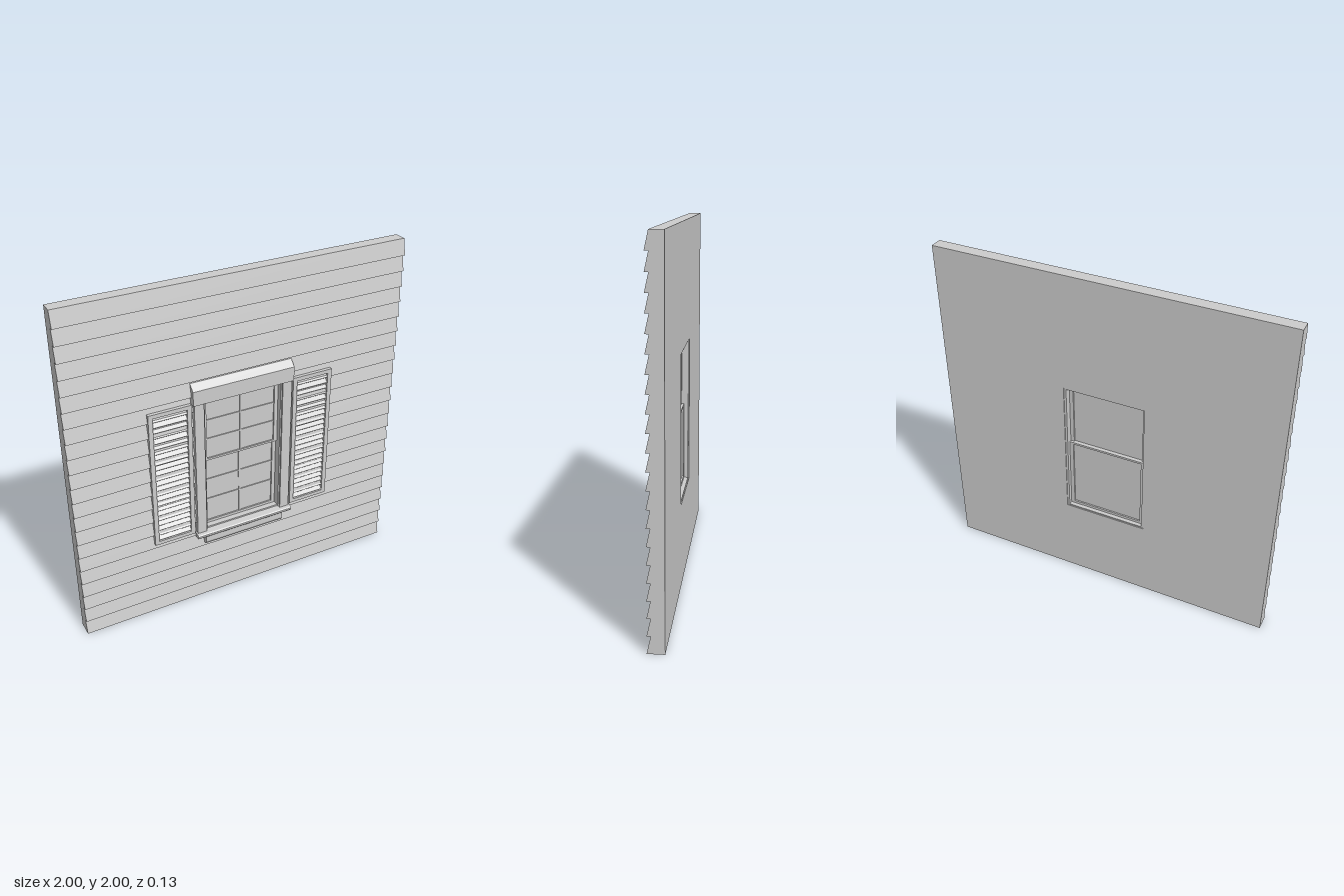
import * as THREE from 'three';

const mat = new THREE.MeshStandardMaterial({ color: 0xcccccc, flatShading: true });

export function createModel() {
  const model = new THREE.Group();
  model.name = 'windowWall';

  const add = (name, geo, parent = model) => {
    const m = new THREE.Mesh(geo, mat);
    m.name = name;
    parent.add(m);
    return m;
  };
  // Box given by its limits on each axis
  const box = (name, x0, x1, y0, y1, z0, z1, parent) =>
    add(name, new THREE.BoxGeometry(x1 - x0, y1 - y0, z1 - z0)
      .translate((x0 + x1) / 2, (y0 + y1) / 2, (z0 + z1) / 2), parent);
  // Side profile of [z, y] points swept along x
  const sweep = (name, pts, x0, x1, parent) => {
    const shape = new THREE.Shape(pts.map(p => new THREE.Vector2(p[0], p[1])));
    const geo = new THREE.ExtrudeGeometry(shape, { depth: x1 - x0, bevelEnabled: false });
    return add(name, geo.rotateY(-Math.PI / 2).translate(x1, 0, 0), parent);
  };
  const group = name => {
    const g = new THREE.Group();
    g.name = name;
    model.add(g);
    return g;
  };

  // Window opening
  const W = 0.245, B = 0.48, T = 1.32, BACK = -0.065;

  // Wall panel with the opening cut through
  const wall = new THREE.Shape([[-1, 0], [1, 0], [1, 2], [-1, 2]].map(p => new THREE.Vector2(...p)));
  wall.holes.push(new THREE.Path([[-W, B], [-W, T], [W, T], [W, B]].map(p => new THREE.Vector2(...p))));
  add('wall', new THREE.ExtrudeGeometry(wall, { depth: 0.065, bevelEnabled: false }).translate(0, 0, BACK));

  // Overlapping clapboards, split around the opening
  const siding = group('siding');
  const rows = 22, h = 2 / rows;
  for (let i = 0; i < rows; i++) {
    const y0 = i * h, y1 = y0 + h;
    const front = y => 0.025 - 0.02 * (y - y0) / h;
    const board = (a, b, x0, x1) => {
      if (b - a > 0.001) sweep('clapboard', [[0, a], [front(a), a], [front(b), b], [0, b]], x0, x1, siding);
    };
    if (y1 <= B || y0 >= T) { board(y0, y1, -1, 1); continue; }
    const lo = Math.max(y0, B), hi = Math.min(y1, T);
    board(y0, lo, -1, 1);
    board(lo, hi, -1, -W);
    board(lo, hi, W, 1);
    board(hi, y1, -1, 1);
  }

  // Casing, sloped head, sill and apron
  const trim = group('trim');
  sweep('headCasing', [[0, T], [0.047, T], [0.047, 1.405], [0.01, 1.44], [0, 1.44]], -0.305, 0.305, trim);
  sweep('sill', [[-0.03, 0.45], [0.06, 0.45], [0.065, 0.456], [0.065, 0.467], [0.058, 0.473], [-0.03, 0.485]],
    -W, W, trim);
  sweep('sillNose', [[0, 0.45], [0.06, 0.45], [0.065, 0.456], [0.065, 0.467], [0.058, 0.473], [0, 0.481]],
    -0.305, 0.305, trim);
  sweep('apron', [[0, 0.385], [0.028, 0.385], [0.045, 0.395], [0.05, 0.408], [0.05, 0.45], [0, 0.45]],
    -0.25, 0.25, trim);
  for (const s of [-1, 1]) {
    const x = (a, b) => s > 0 ? [a, b] : [-b, -a];
    box('sideCasing', ...x(0.24, 0.297), 0.475, T, 0, 0.04, trim);
    box('jamb', ...x(0.232, W), B, T, -0.06, 0.03, trim);
  }
  box('headJamb', -W, W, 1.31, T, -0.06, 0.03, trim);
  box('bottomJamb', -W, W, B - 0.002, 0.487, -0.06, 0.02, trim);

  // Double-hung sashes, each two panes wide and three high
  const makeSash = (name, y0, y1, rails, z0, z1) => {
    const g = group(name);
    for (const s of [-1, 1])
      box('stile', s > 0 ? 0.21 : -0.232, s > 0 ? 0.232 : -0.21, y0, y1, z0, z1, g);
    box('bottomRail', -0.21, 0.21, y0, rails[0], z0, z1, g);
    box('topRail', -0.21, 0.21, rails[3], y1, z0, z1, g);
    const zg = (z0 + z1) / 2;
    box('glass', -0.21, 0.21, rails[0], rails[3], zg - 0.002, zg + 0.002, g);
    box('verticalMuntin', -0.005, 0.005, rails[0], rails[3], zg, zg + 0.008, g);
    for (const y of [rails[1], rails[2]])
      box('muntin', -0.21, 0.21, y - 0.004, y + 0.004, zg, zg + 0.008, g);
  };
  makeSash('upperSash', 0.926, 1.31, [0.938, 1.062, 1.18, 1.297], -0.022, 0);
  makeSash('lowerSash', 0.487, 0.938, [0.503, 0.65, 0.785, 0.926], -0.036, -0.014);

  // Louvred shutters
  for (const s of [-1, 1]) {
    const g = group(s > 0 ? 'leftShutter' : 'rightShutter');
    g.position.x = s * 0.434;
    const top = 1.325, half = 0.124, inner = 0.099, z1 = 0.034;
    for (const k of [-1, 1])
      box('shutterStile', k > 0 ? inner : -half, k > 0 ? half : -inner, B, top, 0, z1, g);
    box('shutterBottomRail', -inner, inner, B, 0.502, 0, z1, g);
    box('shutterTopRail', -inner, inner, 1.302, top, 0, z1, g);
    const n = 24, step = 0.8 / n;
    for (let i = 0; i < n; i++) {
      const slat = add('slat', new THREE.BoxGeometry(2 * inner, 0.005, 0.032), g);
      slat.position.set(0, 0.502 + (i + 0.5) * step, 0.018);
      slat.rotation.x = 0.75;
    }
  }
  return model;
}
